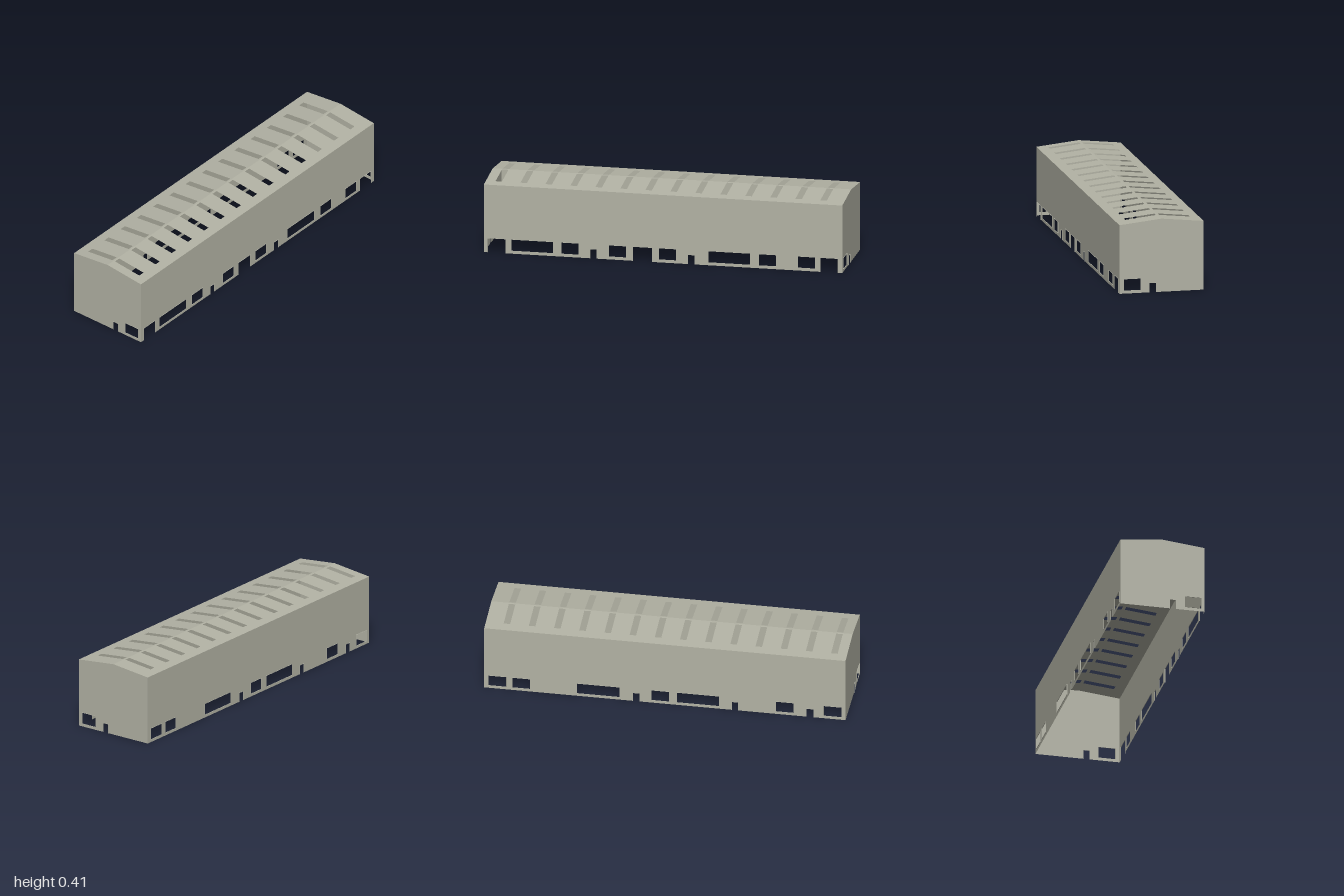
import * as THREE from 'three';
import { mergeGeometries } from 'three/addons/utils/BufferGeometryUtils.js';

const HALF_X = 0.997, HALF_Z = 0.2355, EAVE = 0.383, RIDGE = 0.408;
const SILL = 0.017, HEAD = 0.08, DOOR = 0.052, REVEAL = 0.003;

// Openings as [kind, from, to]
const FRONT = [
  ['gate', -0.975, -0.877], ['window', -0.842, -0.613], ['window', -0.565, -0.47],
  ['door', -0.405, -0.37], ['window', -0.3, -0.205], ['gate', -0.166, -0.062],
  ['window', -0.022, 0.073], ['door', 0.14, 0.176], ['window', 0.253, 0.485],
  ['window', 0.535, 0.629], ['window', 0.75, 0.845], ['gate', 0.876, 0.972],
];
const BACK = [ // in model x
  ['window', -0.975, -0.877], ['door', -0.82, -0.782], ['window', -0.71, -0.613],
  ['door', -0.405, -0.37], ['window', -0.3, -0.067], ['window', -0.022, 0.073],
  ['door', 0.14, 0.176], ['window', 0.25, 0.485], ['window', 0.745, 0.84],
  ['window', 0.875, 0.972],
];
const RIGHT = [['door', 0.032, 0.068], ['window', 0.118, 0.211]]; // in model z
const LEFT = [['door', 0.041, 0.076], ['window', 0.125, 0.217]];  // in model z

const mirrored = (list) => list.map(([k, a, b]) => [k, -b, -a]).reverse();

function rectPath(x0, y0, x1, y1) {
  return new THREE.Path([[x0, y0], [x0, y1], [x1, y1], [x1, y0]].map((p) => new THREE.Vector2(...p)));
}

// Thin linings that stand slightly proud around one opening
function lining([kind, a, b]) {
  const bottom = kind === 'window' ? SILL : 0;
  const top = kind === 'door' ? DOOR : HEAD;
  const flat = (y) => new THREE.PlaneGeometry(b - a, REVEAL).rotateX(-Math.PI / 2)
    .translate((a + b) / 2, y, REVEAL / 2);
  const upright = (x) => new THREE.PlaneGeometry(REVEAL, top - bottom).rotateY(Math.PI / 2)
    .translate(x, (top + bottom) / 2, REVEAL / 2);
  const parts = [flat(top), upright(a), upright(b)];
  if (kind === 'window') parts.push(flat(SILL));
  return parts;
}

// Sheet wall in its own xy plane, facing +z; doors and gates notch the base
function makeWall(name, half, openings, gable, material) {
  const shape = new THREE.Shape();
  shape.moveTo(-half, 0);
  for (const [kind, a, b] of openings) {
    if (kind === 'window') {
      shape.holes.push(rectPath(a, SILL, b, HEAD));
    } else {
      const top = kind === 'door' ? DOOR : HEAD;
      shape.lineTo(a, 0);
      shape.lineTo(a, top);
      shape.lineTo(b, top);
      shape.lineTo(b, 0);
    }
  }
  shape.lineTo(half, 0);
  shape.lineTo(half, EAVE);
  if (gable) shape.lineTo(0, RIDGE);
  shape.lineTo(-half, EAVE);
  shape.closePath();

  const wall = new THREE.Group();
  wall.name = name;
  const sheet = new THREE.Mesh(new THREE.ShapeGeometry(shape), material);
  sheet.name = name + 'Sheet';
  const linings = new THREE.Mesh(mergeGeometries(openings.flatMap(lining)), material);
  linings.name = name + 'OpeningLinings';
  wall.add(sheet, linings);
  return wall;
}

// One roof slope with a row of skylight slots, falling toward +z
function makeSlope(name, direction, material) {
  const pitch = Math.atan2(RIDGE - EAVE, HALF_Z);
  const length = HALF_Z / Math.cos(pitch);
  const shape = new THREE.Shape();
  shape.moveTo(-HALF_X, -length);
  shape.lineTo(HALF_X, -length);
  shape.lineTo(HALF_X, 0);
  shape.lineTo(-HALF_X, 0);
  shape.closePath();
  for (let i = 0; i < 14; i++) {
    const x = direction * (-0.926 + i * 0.139);
    shape.holes.push(rectPath(x - 0.018, -0.181, x + 0.018, -0.009));
  }
  const mesh = new THREE.Mesh(new THREE.ShapeGeometry(shape), material);
  mesh.name = name;
  mesh.position.y = RIDGE;
  mesh.rotation.x = -Math.PI / 2 + pitch;
  const slope = new THREE.Group();
  slope.name = name + 'Slope';
  slope.add(mesh);
  if (direction < 0) slope.rotation.y = Math.PI;
  return slope;
}

export function createModel() {
  const model = new THREE.Group();
  model.name = 'hall';
  const material = new THREE.MeshStandardMaterial({ color: 0xb2b2a4, side: THREE.DoubleSide });
  material.name = 'concrete grey';

  // Long walls
  const front = makeWall('frontWall', HALF_X, FRONT, false, material);
  front.position.z = HALF_Z;
  const back = makeWall('backWall', HALF_X, mirrored(BACK), false, material);
  back.position.z = -HALF_Z;
  back.rotation.y = Math.PI;

  // Gable ends
  const right = makeWall('positiveXGable', HALF_Z, mirrored(RIGHT), true, material);
  right.position.x = HALF_X;
  right.rotation.y = Math.PI / 2;
  const left = makeWall('negativeXGable', HALF_Z, LEFT, true, material);
  left.position.x = -HALF_X;
  left.rotation.y = -Math.PI / 2;

  // Roof
  model.add(front, back, right, left,
    makeSlope('frontRoof', 1, material), makeSlope('backRoof', -1, material));
  return model;
}
